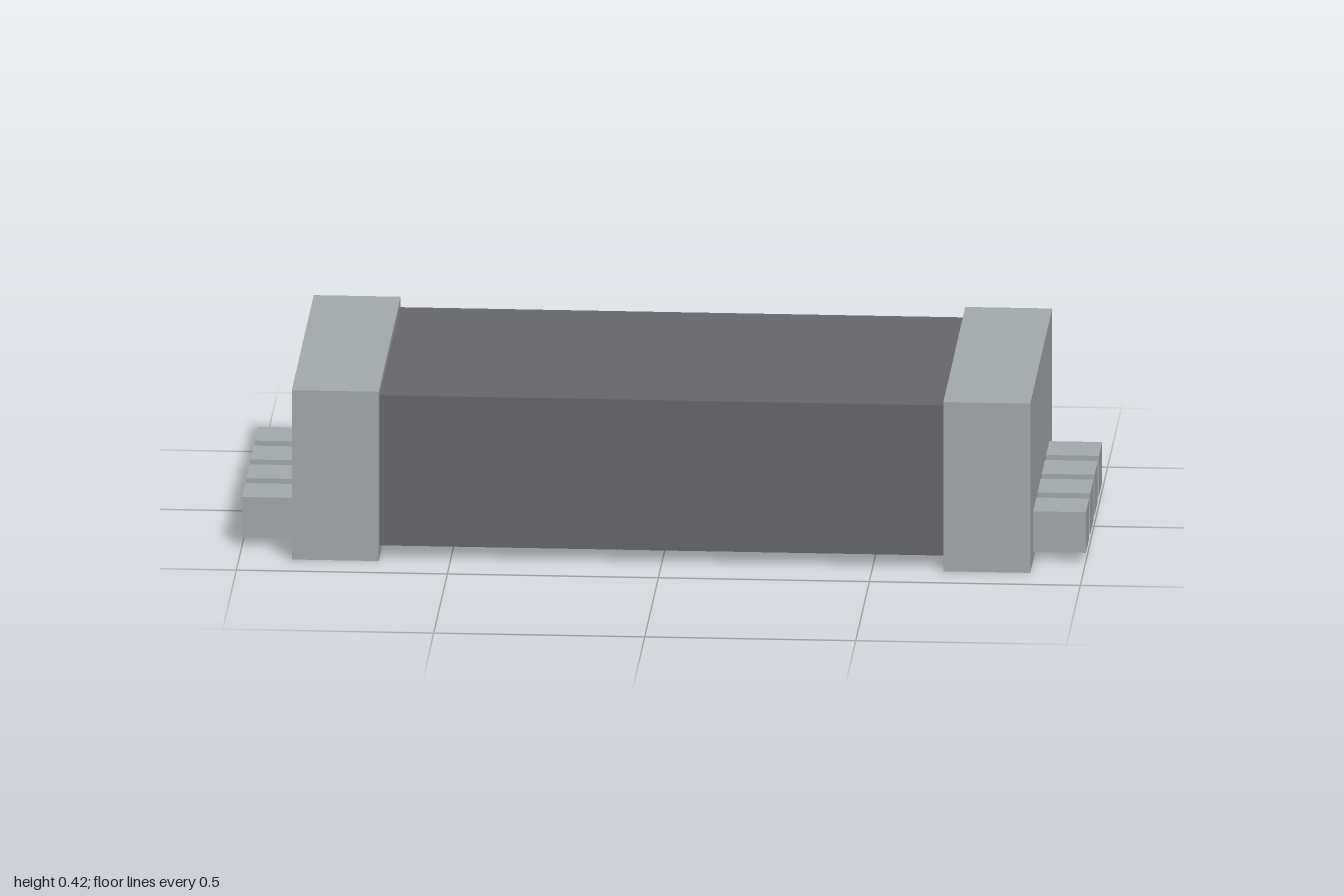
import * as THREE from 'three';

export function createModel() {
  const model = new THREE.Group();
  const darkGrey = new THREE.MeshStandardMaterial({ color: 0x68676a });
  darkGrey.name = 'dark grey';
  const lightGrey = new THREE.MeshStandardMaterial({ color: 0xa5aaad });
  lightGrey.name = 'light grey';

  // Box centred on x and z, given by its size, its bottom height and its centre
  function addBox(parent, name, material, [w, h, d], x, bottom, z = 0) {
    const mesh = new THREE.Mesh(new THREE.BoxGeometry(w, h, d), material);
    mesh.name = name;
    mesh.position.set(x, bottom + h / 2, z);
    parent.add(mesh);
  }

  // Main block between the end caps
  addBox(model, 'body', darkGrey, [1.34, 0.37, 0.744], 0, 0.03);

  // End cap with a row of four pins on each side
  for (const [side, s] of [['left', 1], ['right', -1]]) {
    const end = new THREE.Group();
    end.name = side + 'End';
    addBox(end, side + 'Cap', lightGrey, [0.206, 0.417, 0.804], s * 0.772, 0);
    [-0.238, -0.079, 0.079, 0.238].forEach((z, i) =>
      addBox(end, side + 'Pin' + (i + 1), lightGrey, [0.125, 0.1, 0.117], s * 0.9375, 0.021, z));
    model.add(end);
  }
  return model;
}
